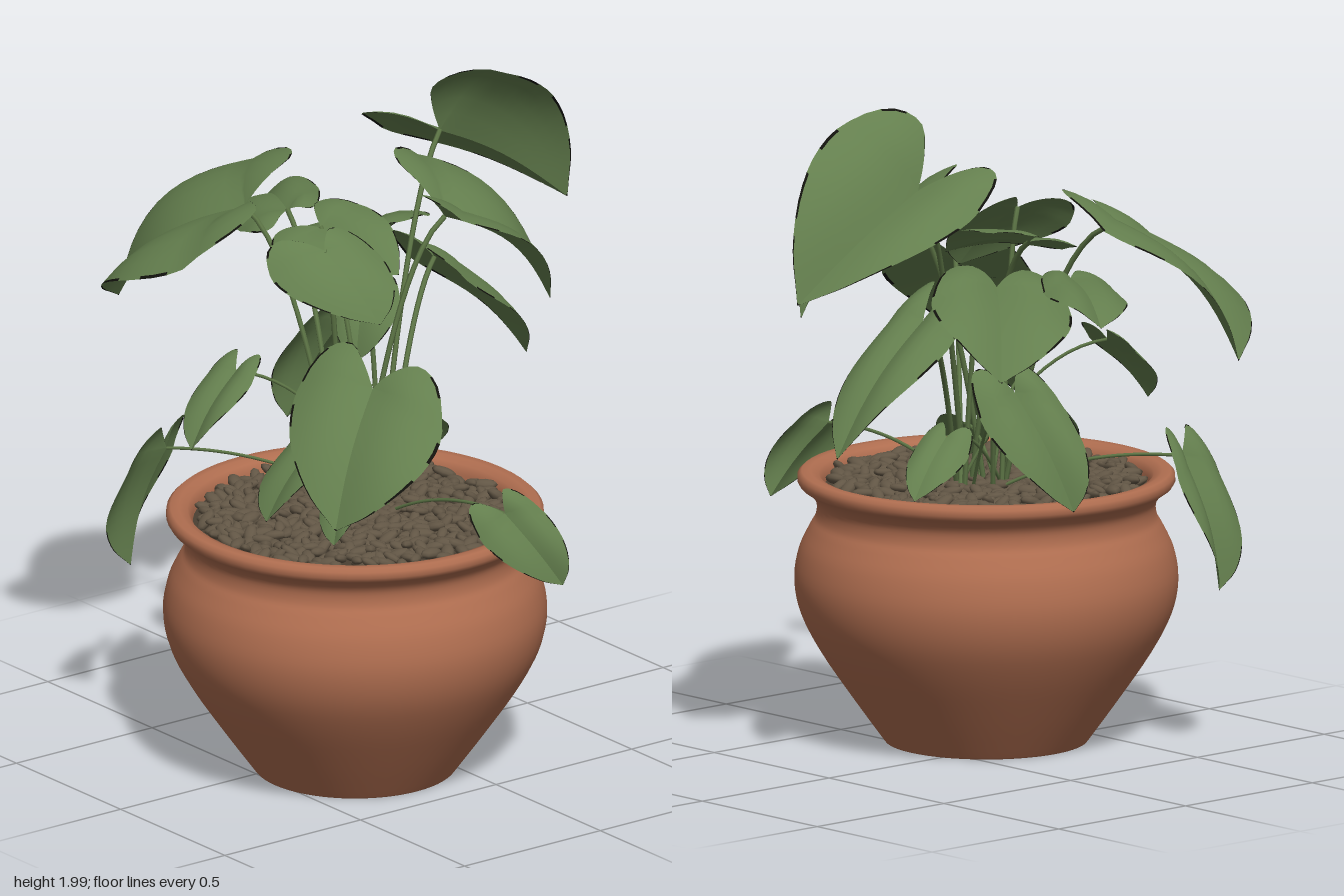
import * as THREE from 'three';
import { mergeGeometries } from 'three/addons/utils/BufferGeometryUtils.js';

const V = (a) => new THREE.Vector3(...a);

function seeded(seed) {
  return () => {
    seed = (seed * 16807) % 2147483647;
    return seed / 2147483647;
  };
}

// Half outline of a heart-shaped leaf: x is half width, y runs from stem (0) to tip (1)
const halfOutline = new THREE.SplineCurve([
  [0, 0], [0.19, -0.16], [0.48, -0.31], [0.8, -0.24], [1, 0.04],
  [0.95, 0.3], [0.74, 0.56], [0.42, 0.8], [0.13, 0.94], [0, 1],
].map((p) => new THREE.Vector2(...p))).getPoints(28);
const columns = [0, 0.2, 0.4, 0.6, 0.8, 0.965, 1];

// Leaf surface spanned by the stem joint, the tip and the widest point on each side;
// group 0 is the blade, group 1 the withered patches along its margin
function leafGeometry(joint, tip, sideA, sideB, curl) {
  const axis = tip.clone().sub(joint);
  const centre = joint.clone().addScaledVector(axis, 0.08);
  const sides = [sideA.clone().sub(centre), sideB.clone().sub(centre)];
  const normal = axis.clone().cross(sides[1].clone().sub(sides[0])).normalize();
  if (normal.y < 0) normal.negate();
  const size = axis.length(), row = columns.length;
  const positions = [], blade = [], margin = [];
  sides.forEach((side, half) => {
    const start = positions.length / 3;
    halfOutline.forEach((o, i) => {
      const mid = Math.max(0, o.y);
      const withered = Math.sin(i * 1.3 + half * 2) > 0.1 || o.y > 0.75;
      const atTip = i >= halfOutline.length - 1;
      columns.forEach((f, k) => {
        const s = o.x * f, u = mid + (o.y - mid) * f;
        const lobeDroop = 0.9 * Math.min(u, 0) ** 2;
        const lift = size * (curl * (Math.sin(Math.PI * Math.max(u, 0)) - 0.7 * s * s)
          + 0.055 * Math.sin(Math.PI * s) * (1 - 0.6 * mid) - lobeDroop);
        const p = joint.clone().addScaledVector(axis, u).addScaledVector(side, s)
          .addScaledVector(normal, lift);
        positions.push(p.x, p.y, p.z);
        if (i && k) {
          const d = start + i * row + k, c = d - 1, b = d - row, a = b - 1;
          const target = atTip || (withered && k === row - 1) ? margin : blade;
          target.push(...(half ? [a, c, b, b, c, d] : [a, b, c, b, d, c]));
        }
      });
    });
  });
  const g = new THREE.BufferGeometry();
  g.setAttribute('position', new THREE.Float32BufferAttribute(positions, 3));
  g.setIndex([...blade, ...margin]);
  g.addGroup(0, blade.length, 0);
  g.addGroup(blade.length, margin.length, 1);
  g.computeVertexNormals();
  return g;
}

export function createModel() {
  const group = new THREE.Group();
  const material = (name, color, extra = {}) =>
    Object.assign(new THREE.MeshStandardMaterial({ color, ...extra }), { name });
  const terracotta = material('terracotta', 0xb06e50);
  const leafGreen = material('leaf green', 0x647f4e, { side: THREE.DoubleSide });
  const witheredBlack = material('withered black', 0x11110c, { side: THREE.DoubleSide });
  const stemGreen = material('stem green', 0x5c7445);
  const pebbleBrown = material('pebble brown', 0x625645);
  const soilBrown = material('soil brown', 0x4a4033);
  const add = (name, geometry, mat, parent = group) => {
    const mesh = new THREE.Mesh(geometry, mat);
    mesh.name = name;
    parent.add(mesh);
    return mesh;
  };
  const potX = 0.11, potZ = 0.22;

  // Pot: flat foot, round belly, narrow neck and flared rim
  const belly = new THREE.SplineCurve([
    [0.3, 0.005], [0.39, 0.13], [0.485, 0.27], [0.542, 0.38], [0.562, 0.48],
    [0.548, 0.57], [0.518, 0.635], [0.499, 0.67], [0.497, 0.71], [0.515, 0.74], [0.545, 0.762],
  ].map((p) => new THREE.Vector2(...p))).getPoints(40);
  const foot = [[0, 0.008], [0.27, 0.004], [0.296, 0]].map((p) => new THREE.Vector2(...p));
  const rim = [[0.553, 0.775], [0.552, 0.793], [0.54, 0.804], [0.515, 0.804], [0.49, 0.795],
    [0.476, 0.77], [0.472, 0.72]].map((p) => new THREE.Vector2(...p));
  add('pot', new THREE.LatheGeometry([...foot, ...belly, ...rim], 64), terracotta)
    .position.set(potX, 0, potZ);

  // Soil and a layer of pebbles
  const soil = add('soil', new THREE.CircleGeometry(0.478, 48), soilBrown);
  soil.rotation.x = -Math.PI / 2;
  soil.position.set(potX, 0.755, potZ);
  const rand = seeded(77);
  const pebble = new THREE.SphereGeometry(1, 8, 6);
  const pebbles = [];
  const count = 480;
  for (let i = 0; i < count; i++) {
    const r = 0.45 * Math.sqrt((i + 0.5) / count), a = i * 2.39996 + rand() * 0.06;
    const turn = new THREE.Quaternion().setFromEuler(
      new THREE.Euler((rand() - 0.5) * 0.9, rand() * Math.PI * 2, (rand() - 0.5) * 0.9));
    const k = 0.85 + rand() * 0.35;
    pebbles.push(pebble.clone().applyMatrix4(new THREE.Matrix4().compose(
      new THREE.Vector3(potX + r * Math.cos(a), 0.766 + rand() * 0.022, potZ + r * Math.sin(a)),
      turn, new THREE.Vector3(0.036 * k, 0.014 * k, 0.019 * k))));
  }
  add('pebbles', mergeGeometries(pebbles), pebbleBrown);

  // Leaves with their stems: joint, tip, widest point on either side, curl
  let n = 0;
  const leaf = (name, joint, tip, sideA, sideB, curl = 0.06) => {
    const plant = new THREE.Group();
    plant.name = name;
    group.add(plant);
    const end = V(joint);
    add('leafBlade', leafGeometry(end, V(tip), V(sideA), V(sideB), curl),
      [leafGreen, witheredBlack], plant);
    const a = n++ * 2.4;
    const root = new THREE.Vector3(0.06 + 0.07 * Math.cos(a), 0.76, 0.15 + 0.07 * Math.sin(a));
    const bend = root.clone().lerp(end, 0.45);
    bend.y = root.y + (end.y - root.y) * 0.85 + 0.04;
    const path = new THREE.QuadraticBezierCurve3(root, bend, end);
    add('stem', new THREE.TubeGeometry(path, 16, end.y > 1.2 ? 0.008 : 0.005, 6), stemGreen, plant);
  };
  leaf('backTopLeaf', [-0.2, 1.76, -0.33], [-0.16, 1.47, -0.77], [-0.42, 1.71, -0.32], [-0.04, 1.95, -0.5]);
  leaf('largeSideLeaf', [-0.38, 1.6, 0.25], [-0.79, 1.24, 0.4], [-0.65, 1.65, 0.08], [-0.38, 1.48, 0.56], 0.12);
  leaf('largeFrontLeaf', [0.52, 1.34, 0.47], [0.68, 1.0, 0.73], [0.33, 1.31, 0.61], [0.82, 1.26, 0.46]);
  leaf('backCentreLeaf', [0.11, 1.63, -0.11], [0.2, 1.33, -0.43], [-0.12, 1.74, -0.25], [0.36, 1.71, -0.05], 0.13);
  leaf('backSideLeaf', [-0.31, 1.46, -0.12], [-0.64, 1.26, -0.4], [-0.33, 1.46, -0.39], [-0.55, 1.41, -0.04]);
  leaf('lowBackLeaf', [-0.2, 1.37, -0.31], [-0.2, 1.0, -0.65], [-0.35, 1.32, -0.36], [-0.05, 1.32, -0.36]);
  leaf('farSideLeaf', [-0.5, 1.5, 0], [-0.82, 1.42, -0.17], [-0.62, 1.5, -0.2], [-0.59, 1.45, 0.12]);
  leaf('lowSideLeaf', [-0.4, 1.16, -0.13], [-0.58, 0.82, -0.06], [-0.43, 1.08, -0.27], [-0.5, 1.09, 0]);
  leaf('centreLeaf', [-0.21, 1.55, 0.1], [0.1, 1.48, 0.05], [-0.18, 1.6, -0.04], [-0.13, 1.5, 0.28]);
  leaf('upperFrontLeaf', [0.04, 1.59, 0.28], [0.23, 1.4, 0.22], [0.1, 1.56, 0.12], [0.01, 1.52, 0.44]);
  leaf('middleFrontLeaf', [-0.15, 1.2, 0.46], [-0.13, 1.0, 0.64], [-0.25, 1.16, 0.51], [-0.05, 1.18, 0.5]);
  leaf('smallFrontLeaf', [0.14, 1.05, 0.38], [0.1, 0.82, 0.54], [0.02, 0.99, 0.43], [0.24, 1.04, 0.4]);
  leaf('hangingLeaf', [-0.43, 0.89, 0.5], [-0.55, 0.5, 0.54], [-0.48, 0.79, 0.64], [-0.54, 0.81, 0.42]);
  leaf('rimLeaf', [0.62, 0.89, 0.06], [0.73, 0.67, -0.07], [0.64, 0.82, 0.15], [0.68, 0.88, -0.05]);
  leaf('lowRearLeaf', [-0.1, 0.98, -0.13], [-0.15, 0.82, -0.3], [-0.19, 0.93, -0.13], [-0.04, 0.95, -0.2]);
  leaf('innerLeaf', [-0.05, 1.39, 0.06], [0.0, 1.2, 0.13], [-0.12, 1.35, 0.12], [0.06, 1.37, 0.02]);
  leaf('tinyFrontLeaf', [0.31, 0.95, 0.4], [0.36, 0.81, 0.49], [0.24, 0.91, 0.44], [0.39, 0.93, 0.41]);
  leaf('tinyCentreLeaf', [0.16, 0.94, 0.18], [0.24, 0.82, 0.26], [0.12, 0.91, 0.24], [0.26, 0.93, 0.16]);
  return group;
}
